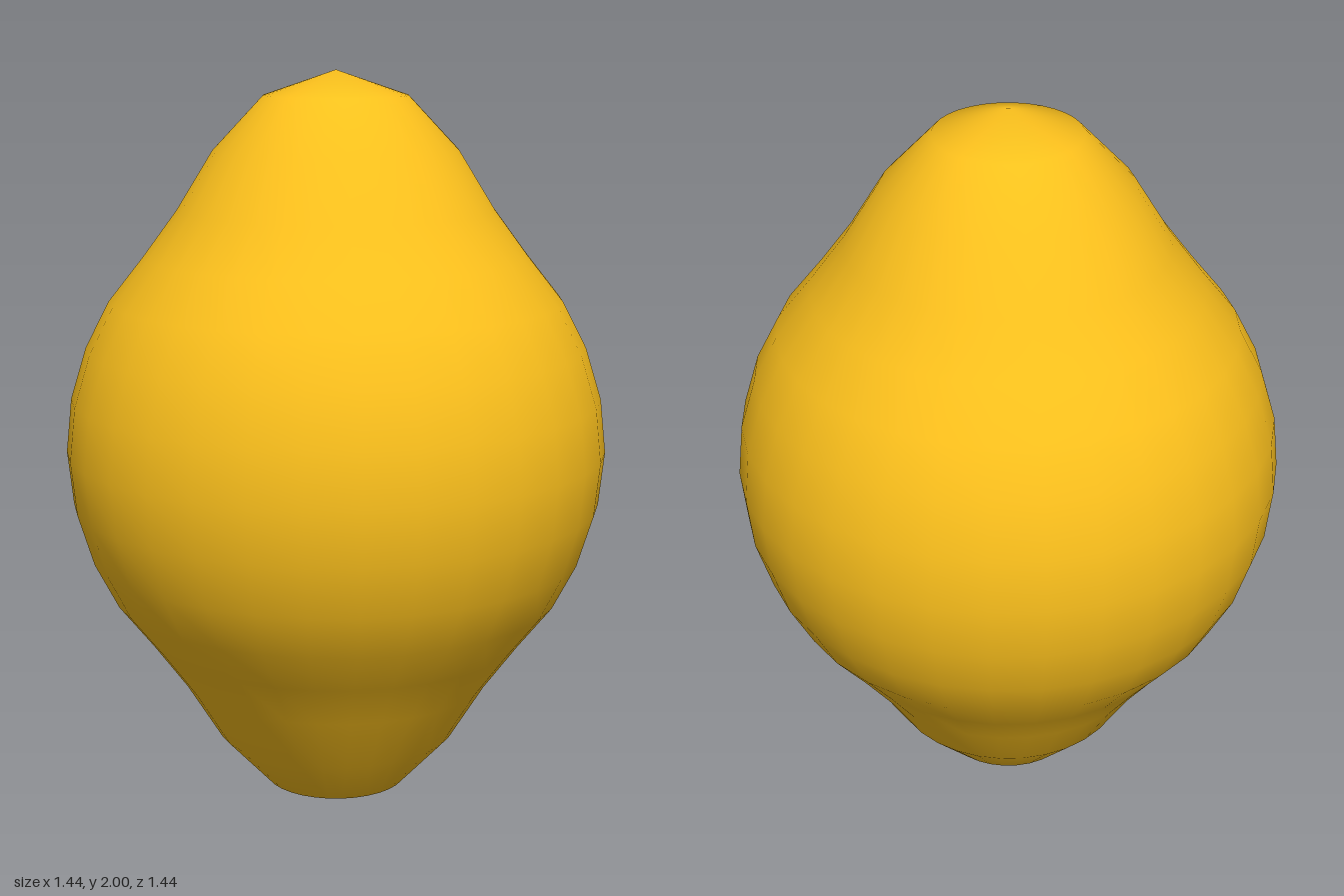
import * as THREE from 'three';
import { mergeVertices } from 'three/addons/utils/BufferGeometryUtils.js';

// Half profile from the equator to the tip: [radius, height above the middle]
const HALF = [
  [0.72, 0], [0.705, 0.143], [0.663, 0.28], [0.6, 0.402], [0.508, 0.518],
  [0.418, 0.64], [0.323, 0.794], [0.19, 0.935], [0, 1],
];

export function createModel() {
  const group = new THREE.Group();
  group.name = 'lemon';

  // Mirror the half profile to get both pointed ends, bottom to top
  const lower = HALF.slice(1).reverse().map(([r, h]) => new THREE.Vector2(r, 1 - h));
  const upper = HALF.map(([r, h]) => new THREE.Vector2(r, 1 + h));
  const lathe = new THREE.LatheGeometry([...lower, ...upper], 32);

  // Weld the seam and the poles so the skin shades smoothly all over
  lathe.deleteAttribute('uv');
  lathe.deleteAttribute('normal');
  const geometry = mergeVertices(lathe);
  geometry.computeVertexNormals();

  const fruit = new THREE.Mesh(geometry, new THREE.MeshStandardMaterial({ color: 0xfbc01c }));
  fruit.name = 'fruit';
  group.add(fruit);
  return group;
}
